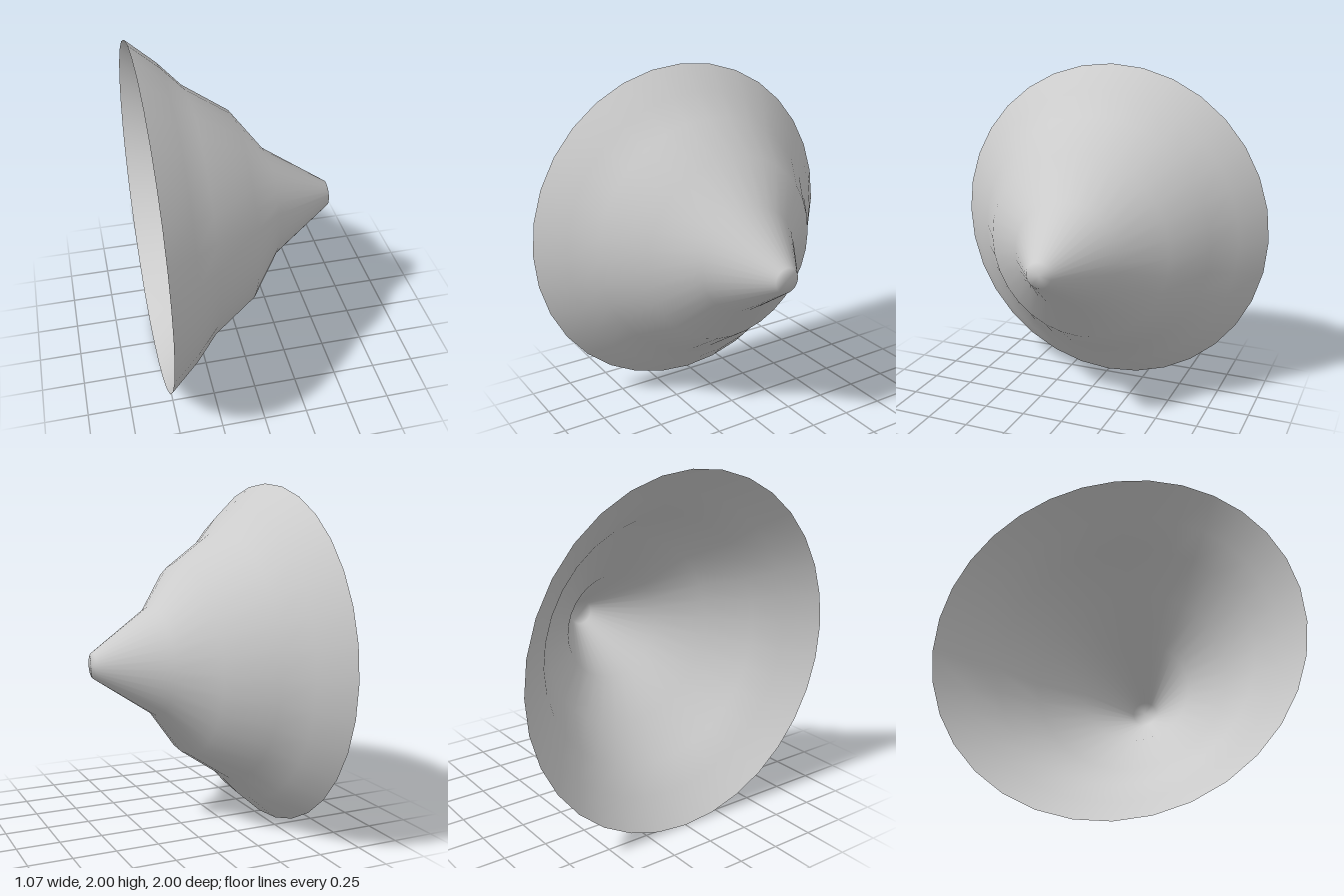
import * as THREE from 'three';

export function createModel() {
  const group = new THREE.Group();

  // Profile as [radius, distance along the axis], from open rim to closed tip
  const profile = [
    [1, -0.537], [0.86, -0.375], [0.725, -0.25], [0.555, 0],
    [0.315, 0.178], [0.073, 0.537], [0, 0.537],
  ].map(([r, d]) => new THREE.Vector2(r, d));

  // Thin flared shell, turned so that its tip points to +x
  const geometry = new THREE.LatheGeometry(profile, 32);
  geometry.rotateZ(-Math.PI / 2);
  const material = new THREE.MeshStandardMaterial({ color: 0xcccccc, side: THREE.DoubleSide });
  const shell = new THREE.Mesh(geometry, material);
  shell.name = 'flaredShell';
  shell.position.y = 1;
  group.add(shell);

  return group;
}
